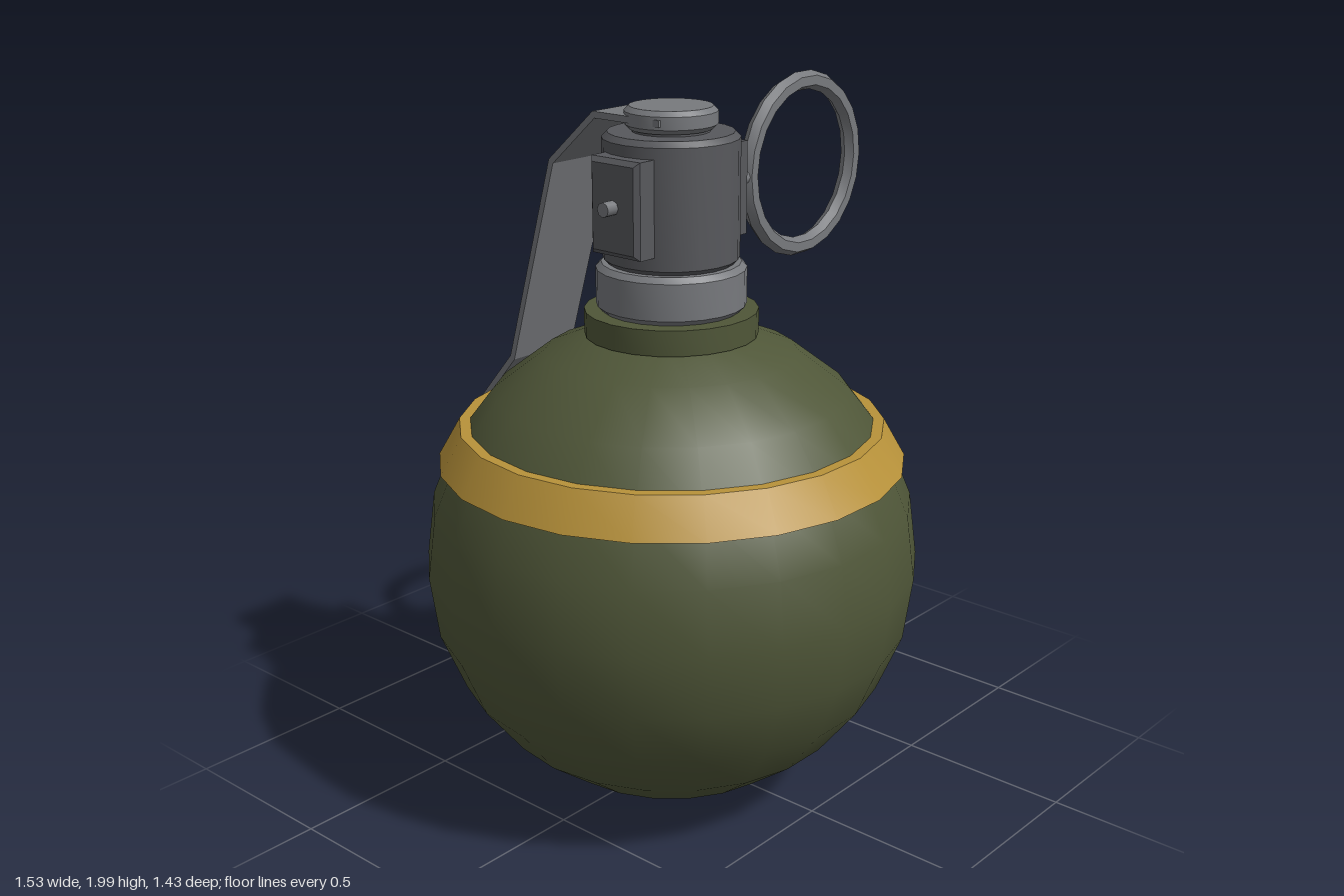
import * as THREE from 'three';
import { toCreasedNormals } from 'three/addons/utils/BufferGeometryUtils.js';

const SIDES = 22;
const mat = (color) => new THREE.MeshStandardMaterial({ color });
const olive = mat(0x4f5638), gold = mat(0xb8923a), steel = mat(0x77797d), darkSteel = mat(0x57585c);

export function createModel() {
  const model = new THREE.Group();
  // All parts sit on one vertical axis
  const axis = new THREE.Group();
  axis.name = 'grenade';
  axis.position.set(-0.07, 0, 0.03);
  model.add(axis);

  const add = (name, geometry, material, x = 0, y = 0, z = 0) => {
    const mesh = new THREE.Mesh(geometry, material);
    mesh.name = name;
    mesh.position.set(x, y, z);
    axis.add(mesh);
    return mesh;
  };
  // Turned part from [radius, height] pairs, listed bottom to top
  const turned = (name, points, material) => add(name, toCreasedNormals(
    new THREE.LatheGeometry(points.map(([r, y]) => new THREE.Vector2(r, y)), SIDES, Math.PI / 2), 0.5), material);
  // Turned disc with chamfered rims
  const disc = (name, r, y0, y1, c, material) => turned(name,
    [[0, y0], [r - c, y0], [r, y0 + c], [r, y1 - c], [r - c, y1], [0, y1]], material);

  // Round body, stripe and collar
  add('body', new THREE.SphereGeometry(0.695, SIDES, 12), olive, 0, 0.703, 0);
  turned('stripe', [[0.6, 1.0], [0.65, 1.0], [0.59, 1.105], [0.55, 1.105]], gold);
  turned('collar', [[0, 1.355], [0.238, 1.355], [0.238, 1.425], [0, 1.425]], olive);

  // Fuse stack
  disc('neckRing', 0.205, 1.425, 1.555, 0.015, steel);
  disc('fuseHousing', 0.185, 1.553, 1.905, 0.015, darkSteel);
  disc('capStem', 0.105, 1.9, 1.945, 0.005, darkSteel);
  disc('cap', 0.125, 1.912, 1.972, 0.013, steel);

  // Bevelled lugs on both sides of the housing
  const b = 0.013, lw = 0.085 - b, lh = 0.128 - b;
  const lugShape = new THREE.Shape([[-lw, -lh], [lw, -lh], [lw, lh], [-lw, lh]]
    .map(([x, y]) => new THREE.Vector2(x, y)));
  const lug = new THREE.ExtrudeGeometry(lugShape,
    { depth: 0.09, bevelEnabled: true, bevelSize: b, bevelThickness: b, bevelSegments: 1 });
  for (const [name, side] of [['leftLug', 1], ['rightLug', -1]]) {
    add(name, lug, darkSteel, side * 0.125, 1.732, 0).rotation.y = side * Math.PI / 2;
  }

  // Safety pin and pull ring
  const pin = new THREE.CylinderGeometry(0.02, 0.02, 0.58, 8).rotateZ(Math.PI / 2);
  add('pin', toCreasedNormals(pin, 0.9), steel, 0.025, 1.735, 0);
  add('pullRing', toCreasedNormals(new THREE.TorusGeometry(0.24, 0.027, 6, SIDES), 0.6), steel, 0.565, 1.735, 0);

  // Bent strip lever: [distance behind the axis, height]
  const path = [[-0.06, 1.942], [0.17, 1.942], [0.333, 1.798], [0.51, 1.205],
    [0.72, 0.962], [0.738, 0.62], [0.686, 0.36]].map(([x, y]) => new THREE.Vector2(x, y));
  const offset = (d) => path.map((p, i) => {
    const dir = (k) => path[k + 1].clone().sub(path[k]).normalize();
    const d0 = dir(Math.max(i - 1, 0)), d1 = dir(Math.min(i, path.length - 2));
    const t = d0.clone().add(d1).normalize();
    return new THREE.Vector2(-t.y, t.x).multiplyScalar(d / t.dot(d1)).add(p);
  });
  const strip = new THREE.Shape([...offset(0.009), ...offset(-0.009).reverse()]);
  const lever = new THREE.ExtrudeGeometry(strip, { depth: 0.235, bevelEnabled: false });
  lever.translate(0, 0, -0.1175).rotateY(Math.PI / 2);
  add('lever', lever, steel);

  return model;
}
